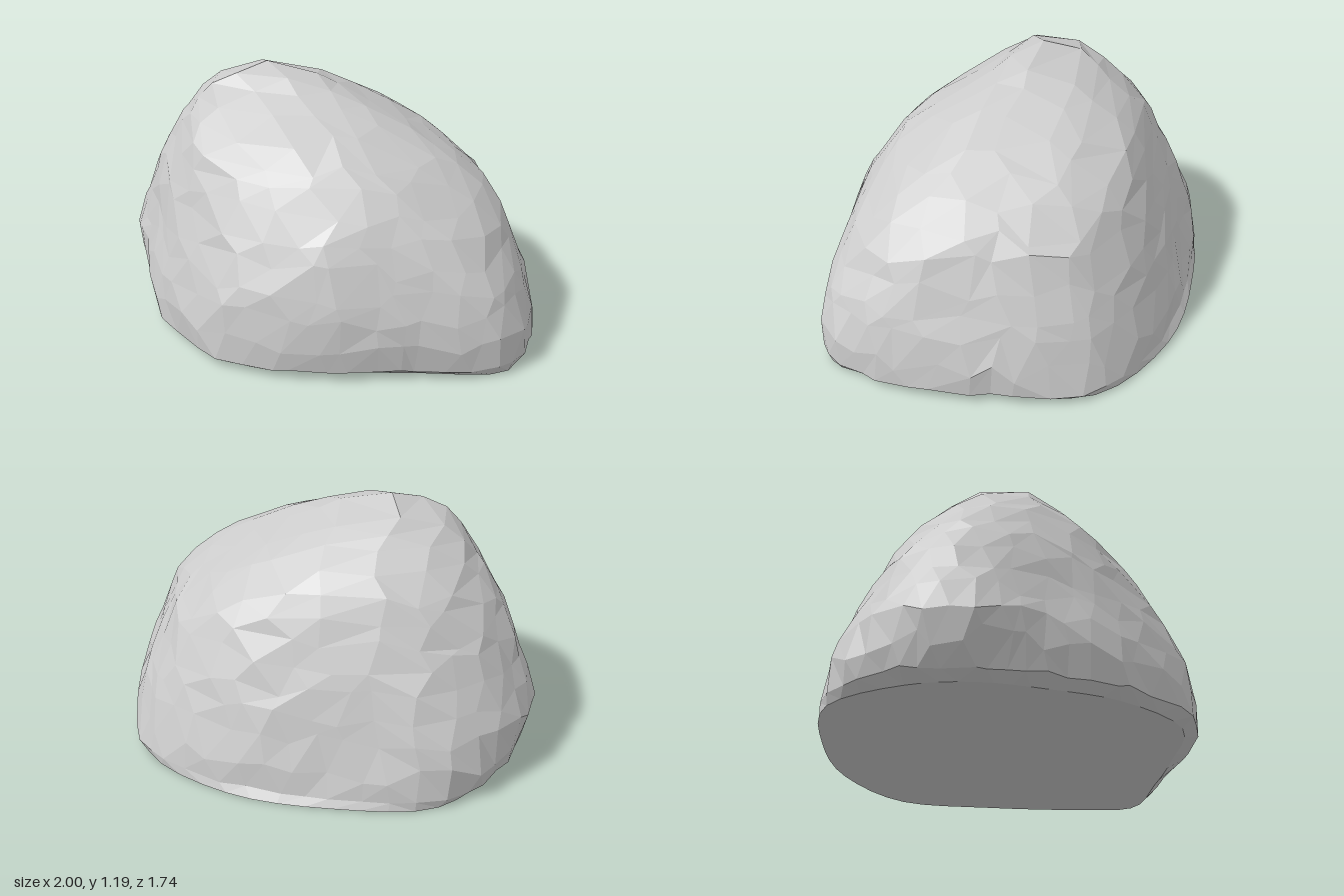
import * as THREE from 'three';

// Outlines (x, z pairs) at rising heights, running right -> front -> left -> back
const base = [.91, -.05, .91, .42, .85, .73, .43, .77, .05, .77, -.4, .72, -.7, .39, -.8, .08, -.85, -.22, -.79, -.5, -.54, -.82, -.07, -.87, .42, -.79, .84, -.5];
const foot = [.98, -.05, .99, .42, .85, .75, .43, .82, .05, .85, -.42, .77, -.76, .41, -.86, .08, -.91, -.22, -.83, -.55, -.56, -.84, -.07, -.85, .4, -.78, .86, -.5];
const low = [.94, -.08, .96, .4, .82, .76, .43, .83, .05, .86, -.4, .77, -.76, .39, -.9, .06, -.99, -.22, -.87, -.56, -.56, -.8, -.07, -.79, .37, -.74, .8, -.48];
const waist = [.85, -.08, .88, .38, .74, .69, .4, .78, .05, .82, -.36, .71, -.7, .37, -.84, .06, -.93, -.24, -.8, -.54, -.5, -.73, -.05, -.73, .36, -.67, .72, -.43];
const shoulder = [.73, -.05, .78, .29, .59, .57, .34, .67, .05, .71, -.33, .61, -.64, .32, -.78, .06, -.84, -.25, -.71, -.48, -.44, -.63, -.04, -.64, .36, -.57, .64, -.35];
const upper = [.45, .02, .47, .28, .36, .41, .2, .5, .02, .53, -.3, .45, -.57, .27, -.68, .05, -.7, -.22, -.6, -.4, -.38, -.52, -.05, -.54, .23, -.46, .39, -.25];
const crown = [.09, .01, .1, .1, .04, .15, -.05, .18, -.15, .18, -.31, .15, -.46, .13, -.55, .04, -.57, -.13, -.5, -.25, -.36, -.32, -.15, -.32, -.02, -.26, .06, -.15];

// Position of each mesh row along the stack of rings (0 = base, 8 = peak)
const ROWS = [0, 1, 1.6, 2.2, 2.7, 3.2, 3.7, 4.1, 4.5, 4.9, 5.3, 5.7, 6.15, 6.9, 8];
const N = ROWS.length - 1;

// Repeatable noise in -1..1
function noise(a, b, c) {
  const s = Math.sin(a * 127.1 + b * 311.7 + c * 74.7) * 43758.5453;
  return (s - Math.floor(s)) * 2 - 1;
}

// Closed smooth curve through an outline, optionally drawn in towards the peak
const peak = new THREE.Vector3(-.28, 1.19, -.05);
function ring(outline, y, scale = 1) {
  const pts = [];
  for (let i = 0; i < outline.length; i += 2) {
    pts.push(new THREE.Vector3(
      peak.x + (outline[i] - peak.x) * scale, y,
      peak.z + (outline[i + 1] - peak.z) * scale));
  }
  return new THREE.CatmullRomCurve3(pts, true);
}

const rings = [
  ring(base, 0),
  ring(foot, .04),
  ring(low, .25),
  ring(waist, .45),
  ring(shoulder, .68),
  ring(upper, .9),
  ring(crown, 1.08),
  ring(crown, 1.15, .58),
];

// Point on the rock: u runs around it (0..1), t climbs the rings
function surface(u, t) {
  const around = ((u % 1) + 1) % 1;
  const rib = new THREE.CatmullRomCurve3([...rings.map(r => r.getPoint(around)), peak]);
  return rib.getPoint(t / rings.length);
}

// Move one corner of the octahedral mesh onto the rock
function place(v) {
  const sum = Math.abs(v.x) + Math.abs(v.y) + Math.abs(v.z);
  const ix = Math.round(v.x / sum * N), iz = Math.round(v.z / sum * N);
  const span = Math.abs(ix) + Math.abs(iz);
  const row = N - span;
  if (span === 0) return v.y > 0 ? peak.clone() : new THREE.Vector3();

  // Fraction of the way around the diamond-shaped row
  const u = (iz >= 0 ? span - ix : 3 * span + ix) / (4 * span);
  if (row === 0) return surface(u, 0);
  // Flat underside
  if (v.y < 0) return surface(u, 0).multiplyScalar(span / N);

  // Irregular facets: slide along the surface, then chip in or out
  const loose = span < 4 ? .4 : 1;
  const slideU = noise(ix, iz, 1) * .32 * loose / (4 * span);
  const slideT = noise(ix, iz, 2) * (row === 1 ? .1 : .17) * loose;
  const p = surface(u + slideU, ROWS[row] + slideT);
  const chip = 1 + noise(ix, iz, 3) * .012;
  p.x *= chip;
  p.z *= chip;
  return p;
}

function rockGeometry() {
  const geo = new THREE.OctahedronGeometry(1, N - 1);
  geo.deleteAttribute('uv');
  const pos = geo.attributes.position;
  const v = new THREE.Vector3();
  for (let i = 0; i < pos.count; i++) {
    const p = place(v.fromBufferAttribute(pos, i));
    pos.setXYZ(i, p.x, p.y, p.z);
  }
  geo.computeVertexNormals();
  return geo;
}

export function createModel() {
  const group = new THREE.Group();
  group.name = 'boulder';
  const rock = new THREE.Mesh(rockGeometry(),
    new THREE.MeshStandardMaterial({ color: 0xcccccc, flatShading: true }));
  rock.name = 'rock';
  group.add(rock);
  return group;
}
